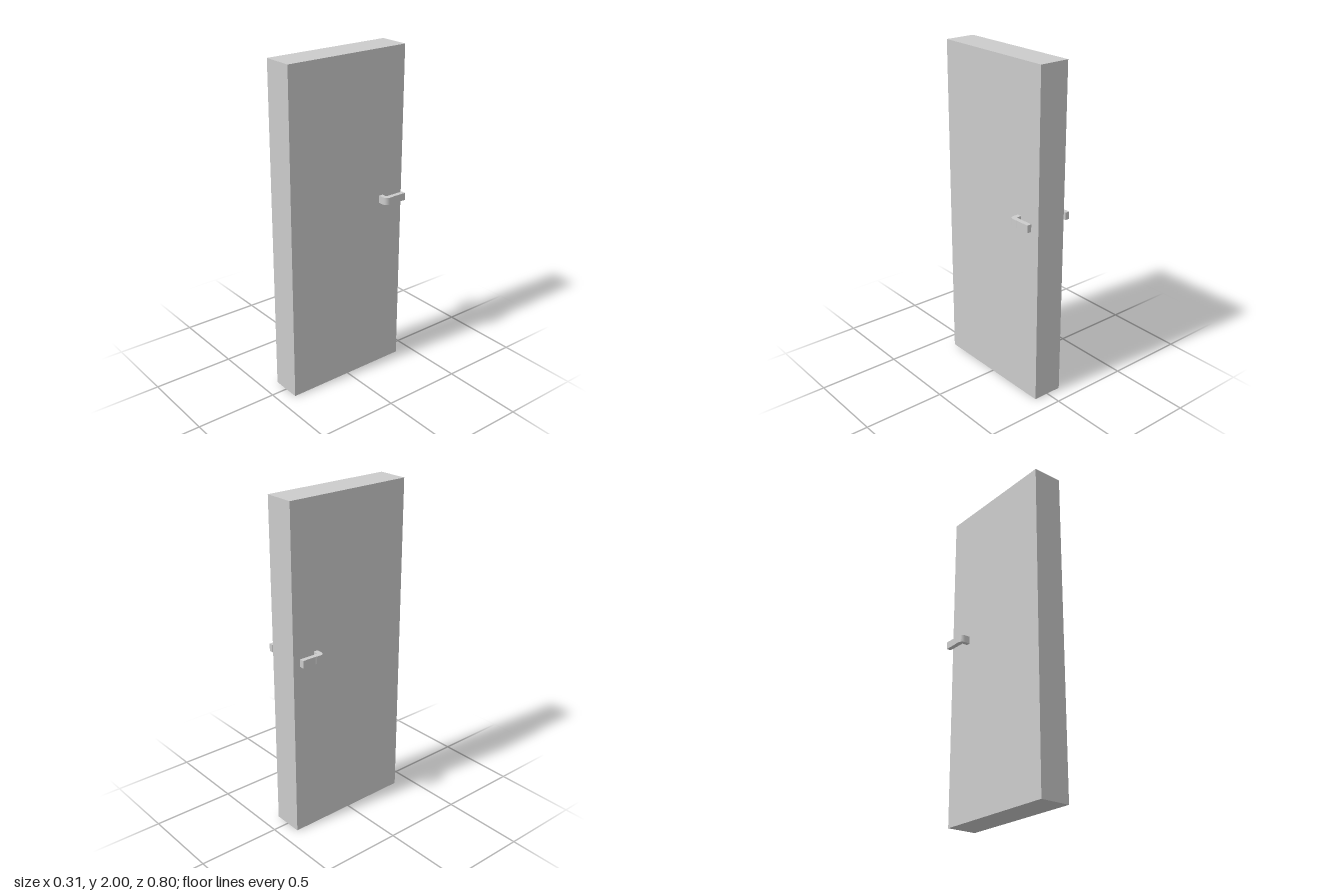
import * as THREE from 'three';

const material = new THREE.MeshStandardMaterial({ color: 0xcccccc, flatShading: true });

// L-shaped lever: a stem out of the door, a rounded outer corner, an arm towards the back edge
function makeHandle(side) {
  const s = new THREE.Shape();
  s.moveTo(side * 0.08, -0.23);
  s.lineTo(side * 0.125, -0.23);
  s.bezierCurveTo(side * 0.144, -0.23, side * 0.158, -0.244, side * 0.156, -0.265);
  s.lineTo(side * 0.156, -0.287);
  s.lineTo(side * 0.154, -0.295);
  s.lineTo(side * 0.154, -0.379);
  s.lineTo(side * 0.126, -0.379);
  s.lineTo(side * 0.126, -0.257);
  s.lineTo(side * 0.08, -0.257);
  s.closePath();
  const geometry = new THREE.ExtrudeGeometry(s, { depth: 0.045, bevelEnabled: false, curveSegments: 8 });
  geometry.rotateX(Math.PI / 2);
  const handle = new THREE.Mesh(geometry, material);
  handle.position.set(-0.001, 1.13, 0);
  handle.name = side > 0 ? 'leftHandle' : 'rightHandle';
  return handle;
}

export function createModel() {
  const group = new THREE.Group();
  group.name = 'door';

  // Plain slab
  const panel = new THREE.Mesh(new THREE.BoxGeometry(0.186, 2, 0.8), material);
  panel.position.set(-0.001, 1, 0);
  panel.name = 'doorPanel';
  group.add(panel);

  // A lever on each face
  for (const side of [1, -1]) group.add(makeHandle(side));
  return group;
}
